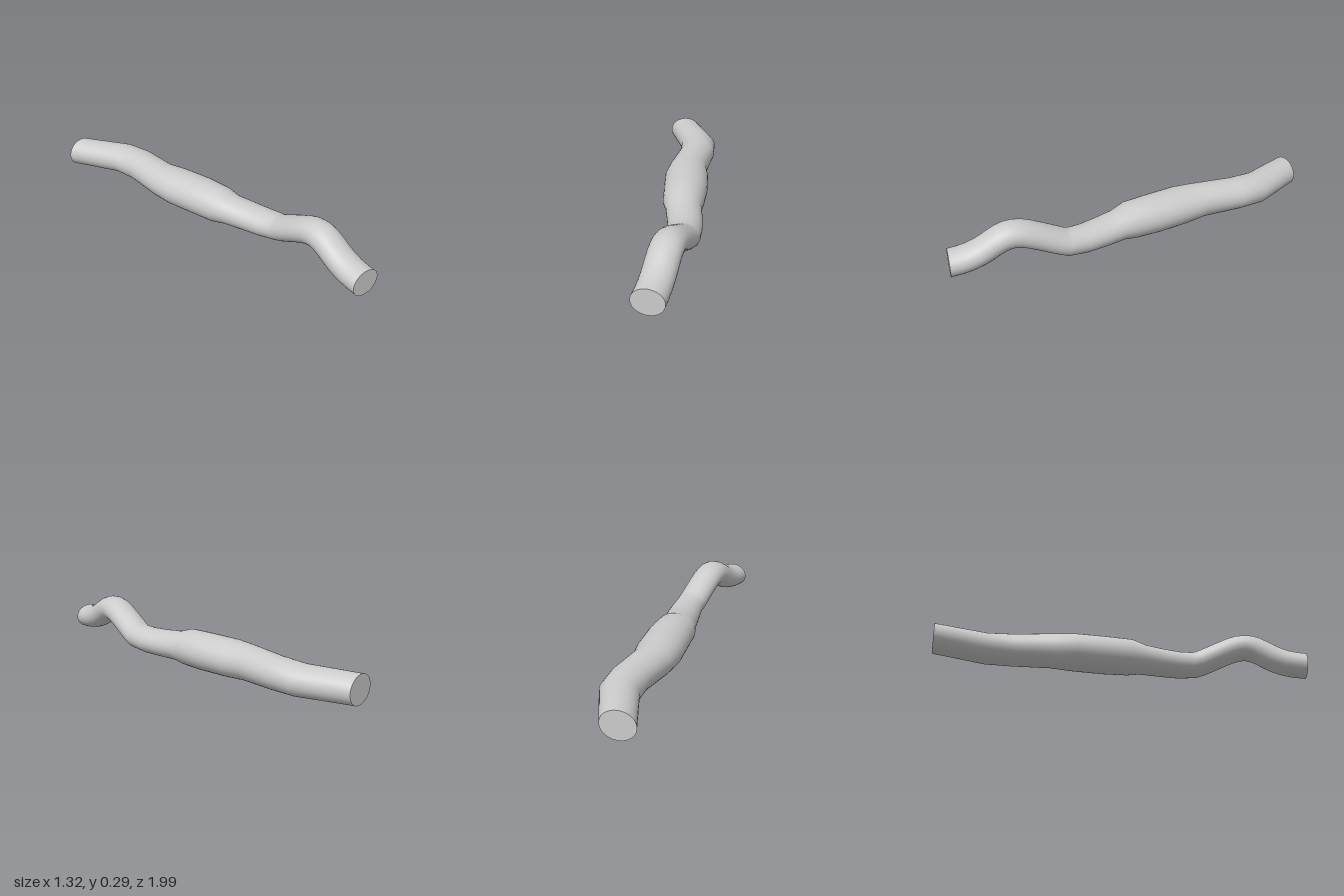
import * as THREE from 'three';

const SIDES = 36;
const material = new THREE.MeshStandardMaterial({ color: 0xcccccc });

// Each section: centre x, y, z, sideways half axis (x, z), half height
function createSections() {
  const sections = [];
  // Straight front run (seen from above) that rises over a hump: [z, y, half height]
  const hump = [
    [0.96, 0.095, 0.075], [0.9, 0.103, 0.075], [0.85, 0.115, 0.075], [0.8, 0.135, 0.075],
    [0.76, 0.157, 0.075], [0.72, 0.183, 0.075], [0.68, 0.205, 0.076], [0.65, 0.215, 0.077],
    [0.62, 0.219, 0.077], [0.58, 0.214, 0.077], [0.54, 0.201, 0.076], [0.48, 0.174, 0.075],
    [0.42, 0.144, 0.075], [0.37, 0.12, 0.075], [0.33, 0.106, 0.076],
  ];
  for (const [z, y, h] of hump) {
    sections.push([0.575 - (0.96 - z) * 0.381, y, z, 0.085, -0.033, h]);
  }
  // Lower bend, swollen middle and rear bend
  sections.push(
    [0.283, 0.098, 0.25, 0.079, -0.056, 0.078],
    [0.215, 0.1, 0.16, 0.081, -0.062, 0.081],
    [0.138, 0.105, 0.065, 0.083, -0.065, 0.087],
    [0.09, 0.112, 0.0, 0.1, -0.07, 0.107],
    [0.01, 0.114, -0.13, 0.111, -0.071, 0.11],
    [-0.095, 0.115, -0.285, 0.105, -0.083, 0.108],
    [-0.16, 0.115, -0.39, 0.094, -0.07, 0.101],
    [-0.25, 0.12, -0.615, 0.091, -0.065, 0.093],
    [-0.33, 0.118, -0.745, 0.09, -0.065, 0.089],
    [-0.58, 0.11, -0.945, 0.081, -0.056, 0.085],
  );
  return sections;
}

// Elliptical rings, tilted to follow the slope of the path; both ends cut upright
function createRings(sections) {
  const centres = sections.map(([x, y, z]) => new THREE.Vector3(x, y, z));
  return sections.map(([, , , ux, uz, h], i) => {
    const up = new THREE.Vector3(0, 1, 0);
    if (i > 0 && i < sections.length - 1) {
      const t = centres[i + 1].clone().sub(centres[i - 1]).normalize();
      up.addScaledVector(t, -t.y).normalize();
    }
    const side = new THREE.Vector3(ux, 0, uz);
    return Array.from({ length: SIDES }, (_, j) => {
      const a = (j / SIDES) * Math.PI * 2;
      return centres[i].clone()
        .addScaledVector(side, Math.cos(a))
        .addScaledVector(up, Math.sin(a) * h);
    });
  });
}

function makeMesh(name, points, index) {
  const geometry = new THREE.BufferGeometry().setFromPoints(points);
  geometry.setIndex(index);
  geometry.computeVertexNormals();
  const mesh = new THREE.Mesh(geometry, material);
  mesh.name = name;
  return mesh;
}

function createWall(rings) {
  const index = [];
  for (let i = 0; i < rings.length - 1; i++) {
    for (let j = 0; j < SIDES; j++) {
      const a = i * SIDES + j;
      const b = i * SIDES + ((j + 1) % SIDES);
      index.push(a, a + SIDES, b, b, a + SIDES, b + SIDES);
    }
  }
  return makeMesh('pipeWall', rings.flat(), index);
}

function createCap(name, ring, reversed) {
  const index = [];
  for (let j = 1; j < SIDES - 1; j++) {
    index.push(0, ...(reversed ? [j + 1, j] : [j, j + 1]));
  }
  return makeMesh(name, ring, index);
}

export function createModel() {
  const group = new THREE.Group();
  group.name = 'bentPipe';
  const rings = createRings(createSections());
  group.add(
    createWall(rings),
    createCap('frontCap', rings[0], false),
    createCap('backCap', rings[rings.length - 1], true),
  );
  return group;
}
